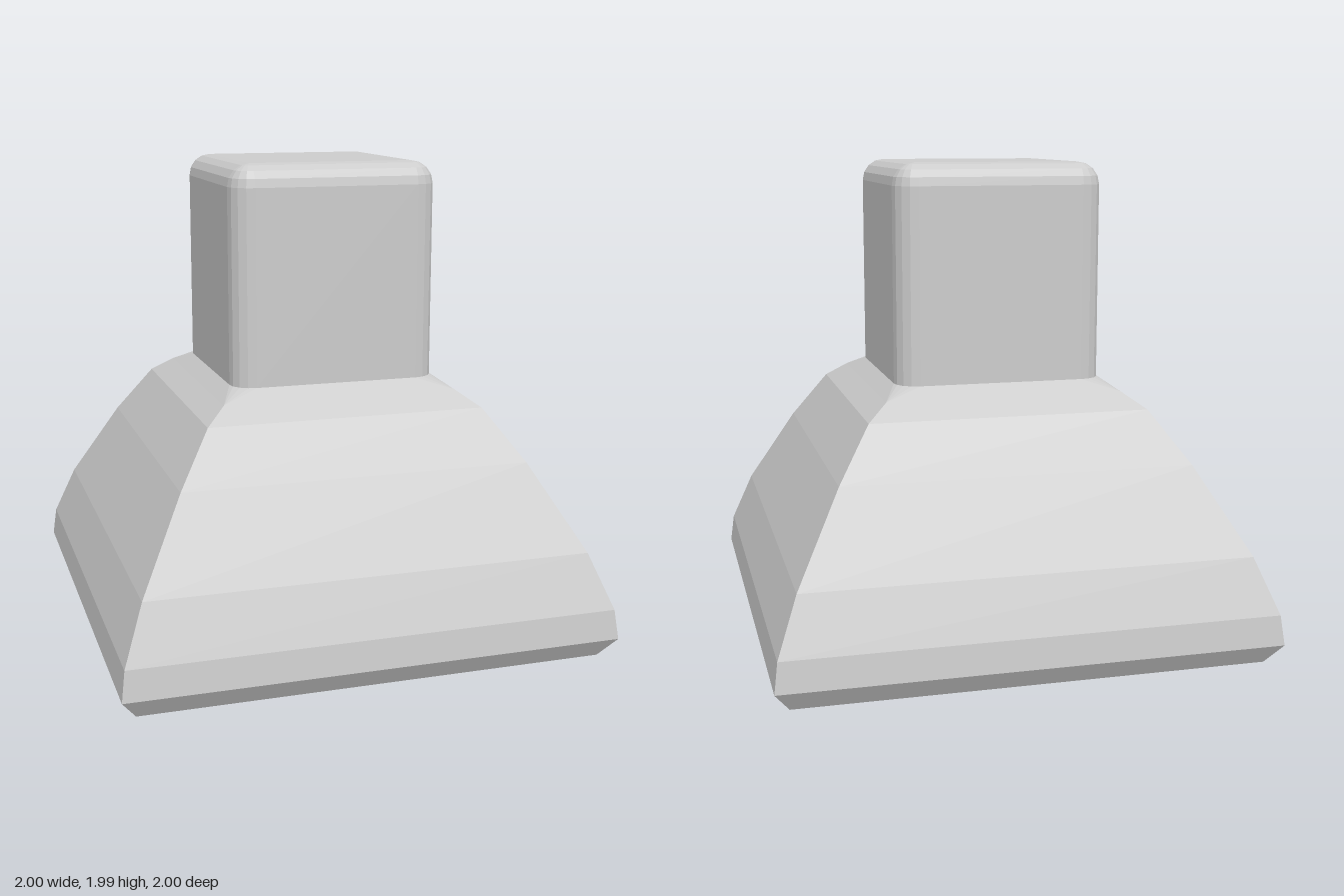
import * as THREE from 'three';

const material = new THREE.MeshStandardMaterial({ color: 0xcccccc, flatShading: true });
const SEG = 4; // segments per rounded corner

// Square ring with half-width h and corner radius r at height y
function ring([h, y, r = 0]) {
  const points = [];
  for (let c = 0; c < 4; c++) {
    const mid = Math.PI / 4 + c * Math.PI / 2;
    const k = (h - r) * Math.SQRT2;
    for (let i = 0; i <= SEG; i++) {
      const a = (c + i / SEG) * Math.PI / 2;
      points.push(new THREE.Vector3(
        Math.cos(mid) * k + Math.cos(a) * r, y, -Math.sin(mid) * k - Math.sin(a) * r));
    }
  }
  return points;
}

// Skin a sequence of square rings, leaving out collapsed triangles
function loft(name, profile) {
  const rings = profile.map(ring);
  const positions = [];
  const triangle = (a, b, c) => {
    if (new THREE.Triangle(a, b, c).getArea() < 1e-7) return;
    for (const p of [a, b, c]) positions.push(p.x, p.y, p.z);
  };
  for (let j = 0; j < rings.length - 1; j++) {
    const low = rings[j], high = rings[j + 1];
    for (let i = 0; i < low.length; i++) {
      const n = (i + 1) % low.length;
      triangle(low[i], low[n], high[n]);
      triangle(low[i], high[n], high[i]);
    }
  }
  const geometry = new THREE.BufferGeometry();
  geometry.setAttribute('position', new THREE.Float32BufferAttribute(positions, 3));
  geometry.computeVertexNormals();
  const mesh = new THREE.Mesh(geometry, material);
  mesh.name = name;
  return mesh;
}

export function createModel() {
  const group = new THREE.Group();
  group.name = 'squareKnob';

  // Flared base: recess ceiling, recess wall, underside, then the curved flank
  group.add(loft('flaredBase', [
    [0, 0.26], [0.61, 0.26], [0.62, 0.08], [0.63, 0.03], [0.65, 0],
    [0.83, 0], [0.94, 0.035], [1, 0.12], [0.985, 0.24], [0.9, 0.46],
    [0.71, 0.8], [0.57, 1.005], [0.485, 1.068], [0.425, 1.115, 0.09],
  ]));

  // Upright block with rounded vertical edges and a rounded top rim
  const R = 0.09, H = 0.425, TOP = 1.99;
  const block = [[H, 1.115, R]];
  for (let i = 0; i <= SEG; i++) {
    const a = i / SEG * Math.PI / 2;
    const r = R * Math.cos(a);
    block.push([H - R + r, TOP - R + R * Math.sin(a), r]);
  }
  block.push([0, TOP]);
  group.add(loft('upperBlock', block));

  return group;
}
